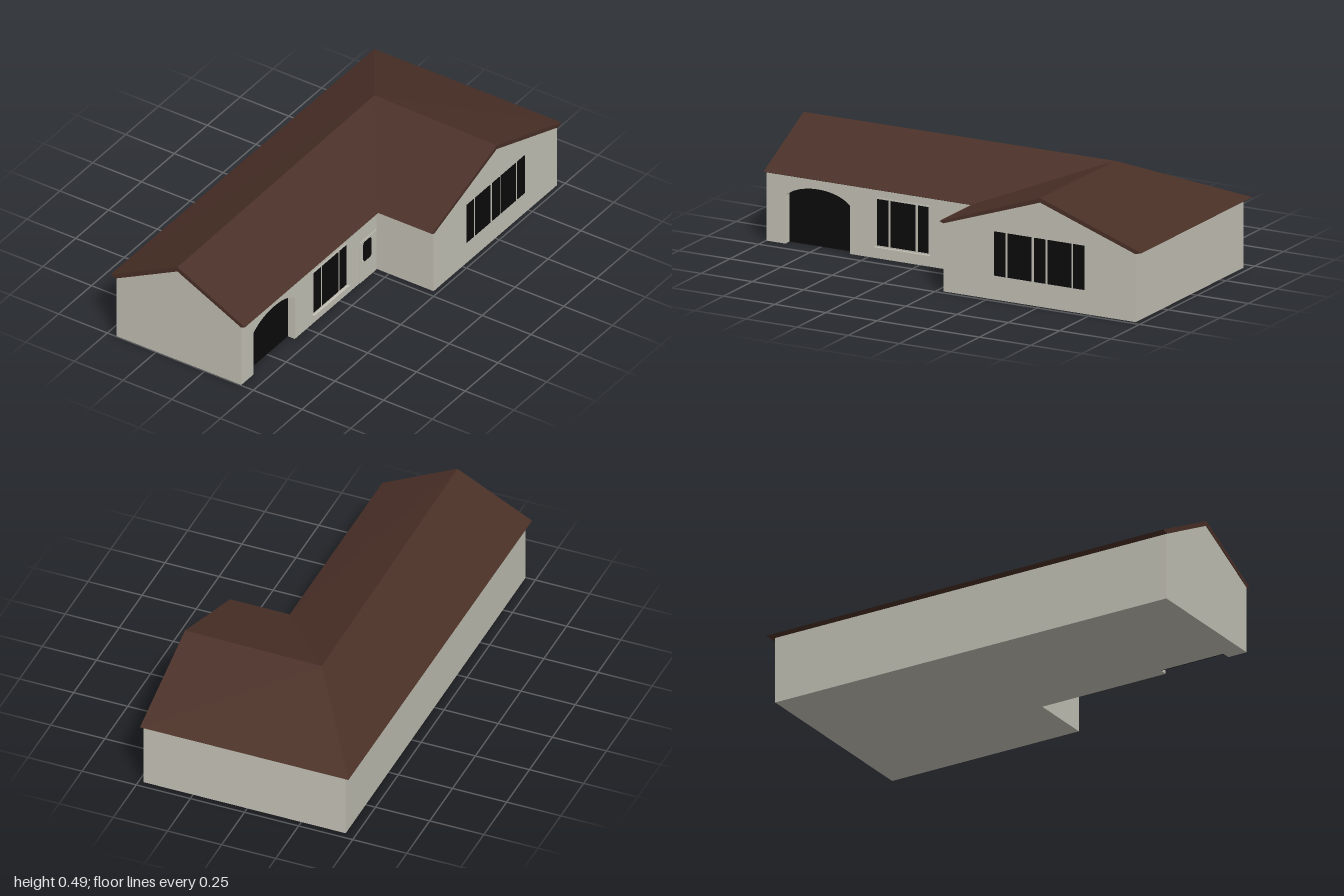
import * as THREE from 'three';

const mat = (name, color) => {
  const m = new THREE.MeshStandardMaterial({ color });
  m.name = name;
  return m;
};

export function createModel() {
  const house = new THREE.Group();
  house.name = 'house';
  const wall = mat('stucco', 0xc4c2b6);
  const roofMat = mat('brown roof', 0x4a3027);
  const glass = mat('black glass', 0x0b0b0b);

  const add = (name, geometry, material) => {
    const m = new THREE.Mesh(geometry, material);
    m.name = name;
    house.add(m);
    return m;
  };
  // Box given by its min and max on each axis
  const box = (name, x0, x1, y0, y1, z0, z1, material) =>
    add(name, new THREE.BoxGeometry(x1 - x0, y1 - y0, z1 - z0), material)
      .position.set((x0 + x1) / 2, (y0 + y1) / 2, (z0 + z1) / 2);
  const polygon = (pts) => new THREE.Shape(pts.map((p) => new THREE.Vector2(...p)));
  // Shape drawn in (z, y), extruded so that its outer face lies at x = face
  const extrudeX = (name, shape, depth, face, material) => {
    const g = new THREE.ExtrudeGeometry(shape, { depth, bevelEnabled: false, curveSegments: 12 });
    g.rotateY(-Math.PI / 2);
    g.translate(face, 0, 0);
    return add(name, g, material);
  };

  const H = 0.303, L = -0.455, R = 0.186, W = 0.479, BACK = -0.97, STEP = -0.031;

  // Wall blocks of the L plan
  box('mainWalls', L, 0.146, 0, H, BACK, 0.95, wall);
  box('sideWingWalls', 0.146, W - 0.02, 0, H, BACK, STEP, wall);

  // Front and side gable walls
  const front = new THREE.ExtrudeGeometry(
    polygon([[L, 0], [R, 0], [R, H], [-0.14, 0.465], [L, H]]), { depth: 0.047, bevelEnabled: false });
  front.translate(0, 0, 0.95);
  add('frontGable', front, wall);
  extrudeX('sideGable', polygon([[BACK, 0], [STEP, 0], [STEP, H], [-0.505, 0.464], [BACK, H]]), 0.02, W, wall);

  // Long wall with the arched garage opening
  const arch = (shape, z0, z1) => {
    shape.lineTo(z0, 0.215);
    shape.bezierCurveTo(z0 + 0.07, 0.28, z1 - 0.07, 0.28, z1, 0.215);
    shape.lineTo(z1, 0);
  };
  const longWall = new THREE.Shape();
  longWall.moveTo(STEP, 0);
  longWall.lineTo(0.59, 0);
  arch(longWall, 0.59, 0.905);
  longWall.lineTo(0.95, 0);
  longWall.lineTo(0.95, H);
  longWall.lineTo(STEP, H);
  extrudeX('garageWall', longWall, R - 0.146, R, wall);
  const opening = new THREE.Shape();
  opening.moveTo(0.59, 0);
  arch(opening, 0.59, 0.905);
  extrudeX('garageDoor', opening, 0.004, 0.15, glass);

  // Living room window with frame and sill
  box('windowFrame', R, R + 0.004, 0.052, 0.27, 0.2, 0.46, wall);
  box('windowSill', R, 0.202, 0.046, 0.053, 0.195, 0.465, wall);
  for (const [z0, z1] of [[0.205, 0.255], [0.268, 0.39], [0.4, 0.455]])
    box('windowPane', R + 0.003, R + 0.006, 0.06, 0.265, z0, z1, glass);

  // Entrance door with rounded light and knob
  box('frontDoor', R, R + 0.004, 0.002, 0.21, -0.025, 0.1, wall);
  const light = new THREE.Shape();
  light.moveTo(0.03, 0.1);
  light.lineTo(0.062, 0.1);
  light.quadraticCurveTo(0.076, 0.1, 0.076, 0.114);
  light.lineTo(0.076, 0.185);
  light.quadraticCurveTo(0.076, 0.2, 0.062, 0.2);
  light.lineTo(0.03, 0.2);
  light.quadraticCurveTo(0.016, 0.2, 0.016, 0.185);
  light.lineTo(0.016, 0.114);
  light.quadraticCurveTo(0.016, 0.1, 0.03, 0.1);
  extrudeX('doorLight', light, 0.003, R + 0.006, glass);
  add('doorKnob', new THREE.SphereGeometry(0.005, 10, 8), wall).position.set(R + 0.008, 0.115, 0.088);

  // Row of panes in the side gable
  for (const [z0, z1] of [[-0.335, -0.28], [-0.46, -0.345], [-0.53, -0.475], [-0.655, -0.54], [-0.72, -0.665]])
    box('gablePane', W, W + 0.003, 0.107, 0.303, z0, z1, glass);

  // Roof: rim points 0-7 in order, ridge junction 8, each with top and underside
  const top = [
    [-0.485, 0.311, 1], [-0.14, 0.487, 1], [0.207, 0.311, 1], [0.207, 0.311, -0.013],
    [0.483, 0.311, -0.013], [0.483, 0.484, -0.505], [0.483, 0.311, -1], [-0.48, 0.311, -1],
    [-0.152, 0.487, -0.515]];
  const under = [
    [L, H, 1], [-0.14, 0.465, 1], [R, H, 1], [R, H, STEP],
    [0.483, H, STEP], [0.483, 0.464, -0.505], [0.483, H, BACK], [L, H, BACK],
    [-0.152, 0.465, -0.515]];
  const pos = [];
  const quad = (a, b, c, d) => pos.push(...a, ...b, ...c, ...a, ...c, ...d);
  for (const [a, b, c, d] of [[0, 1, 8, 7], [1, 2, 3, 8], [8, 3, 4, 5], [8, 5, 6, 7]]) {
    quad(top[a], top[b], top[c], top[d]);
    quad(under[d], under[c], under[b], under[a]);
  }
  for (let i = 0; i < 8; i++) {
    const j = (i + 1) % 8;
    quad(under[i], under[j], top[j], top[i]);
  }
  const roof = new THREE.BufferGeometry();
  roof.setAttribute('position', new THREE.Float32BufferAttribute(pos, 3));
  roof.computeVertexNormals();
  add('roof', roof, roofMat);

  return house;
}
